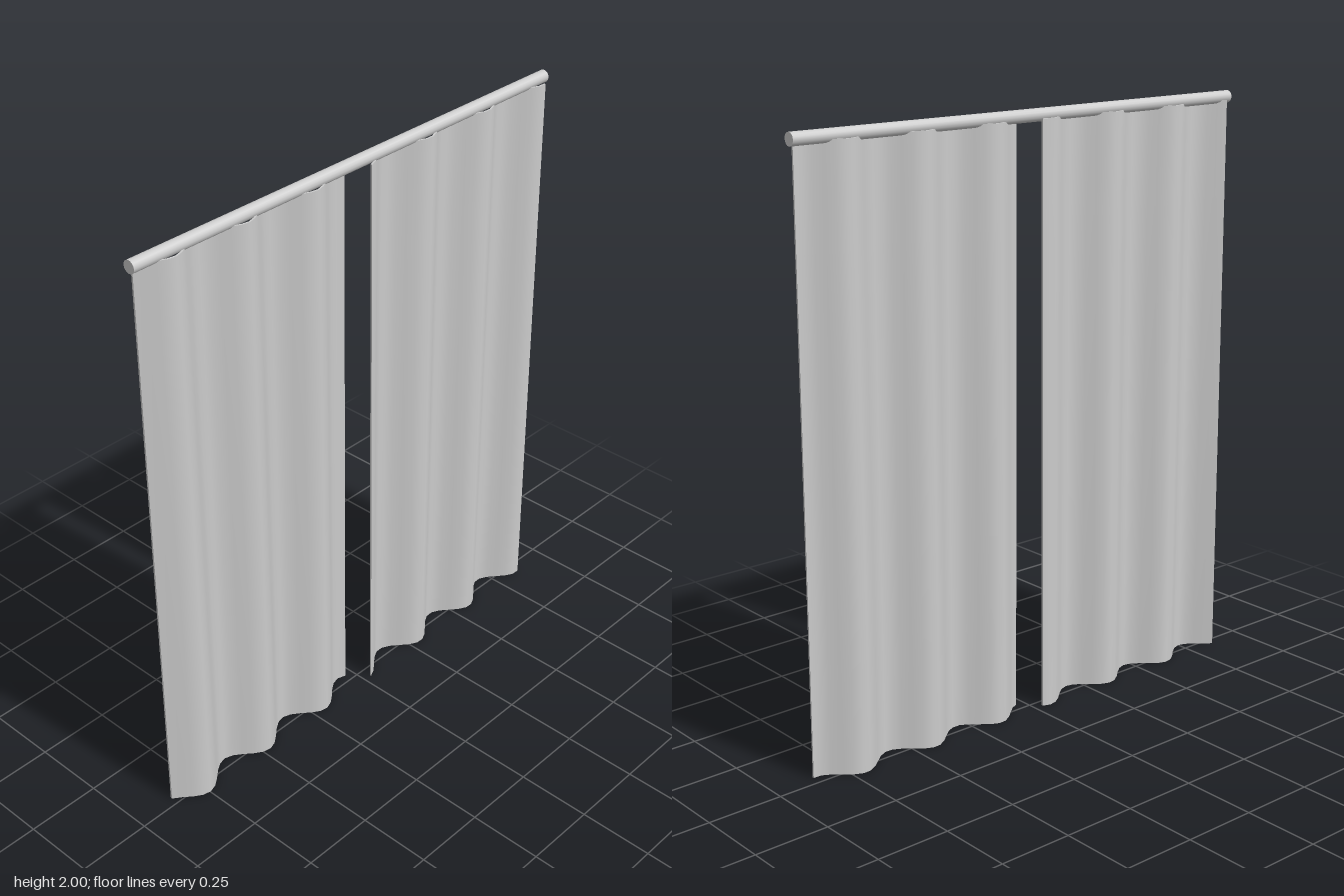
import * as THREE from 'three';

const ROD_Y = 1.98, ROD_RADIUS = 0.021, ROD_LENGTH = 1.77;
const TOP = 1.97, WIDTH = 0.825, PLEAT = 0.275, THICKNESS = 0.006;

// Thin cloth slab bent into pleats that deepen slightly towards the hem
function pleatedPanel(centerZ, crestZ) {
  const geometry = new THREE.BoxGeometry(THICKNESS, TOP, WIDTH, 1, 6, 30);
  geometry.translate(0, TOP / 2, centerZ);
  const p = geometry.attributes.position;
  for (let i = 0; i < p.count; i++) {
    const depth = THREE.MathUtils.lerp(0.039, 0.032, p.getY(i) / TOP);
    const wave = Math.cos((2 * Math.PI * (p.getZ(i) - crestZ)) / PLEAT);
    p.setX(i, p.getX(i) + depth * wave);
  }
  geometry.computeVertexNormals();
  return geometry;
}

export function createModel() {
  const model = new THREE.Group();
  model.name = 'curtains';
  const grey = new THREE.MeshStandardMaterial({ color: 0xcccccc });
  grey.name = 'light grey';

  const add = (name, geometry) => {
    const mesh = new THREE.Mesh(geometry, grey);
    mesh.name = name;
    model.add(mesh);
    return mesh;
  };

  // Rod along z
  const rod = add('rod', new THREE.CylinderGeometry(ROD_RADIUS, ROD_RADIUS, ROD_LENGTH, 16));
  rod.rotation.x = Math.PI / 2;
  rod.position.y = ROD_Y - 0.001;

  // Two hanging panels with a gap between them
  add('frontCurtain', pleatedPanel(0.444, 0.2));
  add('backCurtain', pleatedPanel(-0.442, -0.0175));

  return model;
}
